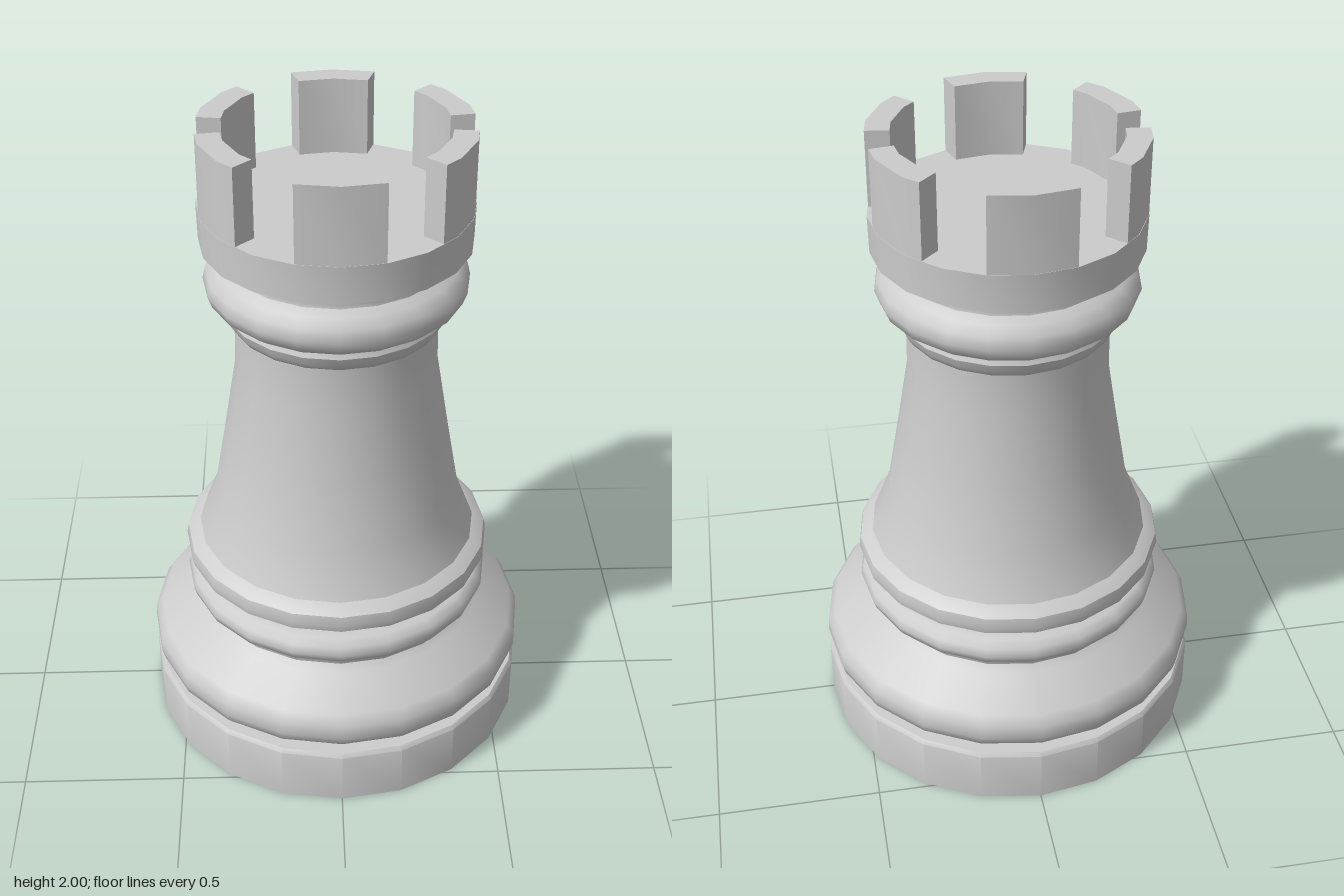
import * as THREE from 'three';
import { toCreasedNormals } from 'three/addons/utils/BufferGeometryUtils.js';

const SIDES = 20;
const FLOOR = 1.77, TOP = 2;

export function createModel() {
  const model = new THREE.Group();
  model.name = 'castlePiece';
  const stone = new THREE.MeshStandardMaterial({ color: 0xcccccc });
  stone.name = 'paleGrey';

  const add = (name, geometry, crease = 0.7) => {
    const mesh = new THREE.Mesh(toCreasedNormals(geometry, crease), stone);
    mesh.name = name;
    model.add(mesh);
  };
  // Turned part from [radius, height] pairs, bottom to top
  const turned = (name, profile) =>
    add(name, new THREE.LatheGeometry(profile.map(([r, y]) => new THREE.Vector2(r, y)), SIDES));

  // Flat plinth and the groove above it
  turned('plinth', [[0, 0], [0.6, 0], [0.6, 0.175], [0.59, 0.187], [0.535, 0.19]]);

  // Wide bulging foot
  turned('foot', [[0.535, 0.19], [0.535, 0.2], [0.57, 0.21], [0.592, 0.23], [0.6, 0.26],
    [0.598, 0.3], [0.575, 0.332], [0.46, 0.4], [0.44, 0.42]]);

  // Two collar rings with a groove between them
  turned('lowerCollar', [[0.44, 0.42], [0.445, 0.44], [0.472, 0.46], [0.48, 0.485],
    [0.472, 0.51], [0.45, 0.528], [0.4, 0.532], [0.4, 0.555]]);
  turned('upperCollar', [[0.4, 0.555], [0.45, 0.565], [0.474, 0.58], [0.48, 0.605],
    [0.474, 0.635], [0.455, 0.65], [0.435, 0.66]]);

  // Tapering tower
  turned('tower', [[0.435, 0.66], [0.38, 0.8], [0.34, 1.03], [0.304, 1.25], [0.3, 1.395]]);

  // Neck mouldings
  turned('neckRing', [[0.3, 1.395], [0.31, 1.4], [0.322, 1.42], [0.331, 1.445], [0.325, 1.46], [0.31, 1.465]]);
  turned('neckBulge', [[0.31, 1.465], [0.345, 1.472], [0.375, 1.495], [0.388, 1.53],
    [0.38, 1.565], [0.355, 1.59], [0.328, 1.605]]);

  // Crown drum with a flat floor
  turned('crown', [[0.328, 1.605], [0.325, 1.625], [0.335, 1.645], [0.395, 1.657],
    [0.397, FLOOR], [0, FLOOR]]);

  // Battlements follow the faceted outline of the drum
  const corner = (deg, radius) => {
    const step = 360 / SIDES, offset = (deg % step) - step / 2;
    const r = radius * Math.cos(Math.PI / SIDES) / Math.cos(THREE.MathUtils.degToRad(offset));
    const a = THREE.MathUtils.degToRad(deg);
    return new THREE.Vector2(r * Math.cos(a), r * Math.sin(a));
  };
  const battlement = (from, to) => {
    const angles = [from];
    for (let a = 0; a < 360; a += 360 / SIDES) if (a > from && a < to) angles.push(a);
    angles.push(to);
    const outline = [...angles.map(a => corner(a, 0.396)),
      ...angles.slice().reverse().map(a => corner(a, 0.325))];
    const geometry = new THREE.ExtrudeGeometry(new THREE.Shape(outline), { depth: TOP - FLOOR, bevelEnabled: false });
    geometry.rotateX(-Math.PI / 2).translate(0, FLOOR, 0);
    add('battlement', geometry, 0.5);
  };
  for (const half of [0, 180]) {
    battlement(half + 8.5, half + 44.5);
    battlement(half + 72, half + 108);
    battlement(half + 135.5, half + 171.5);
  }
  return model;
}
